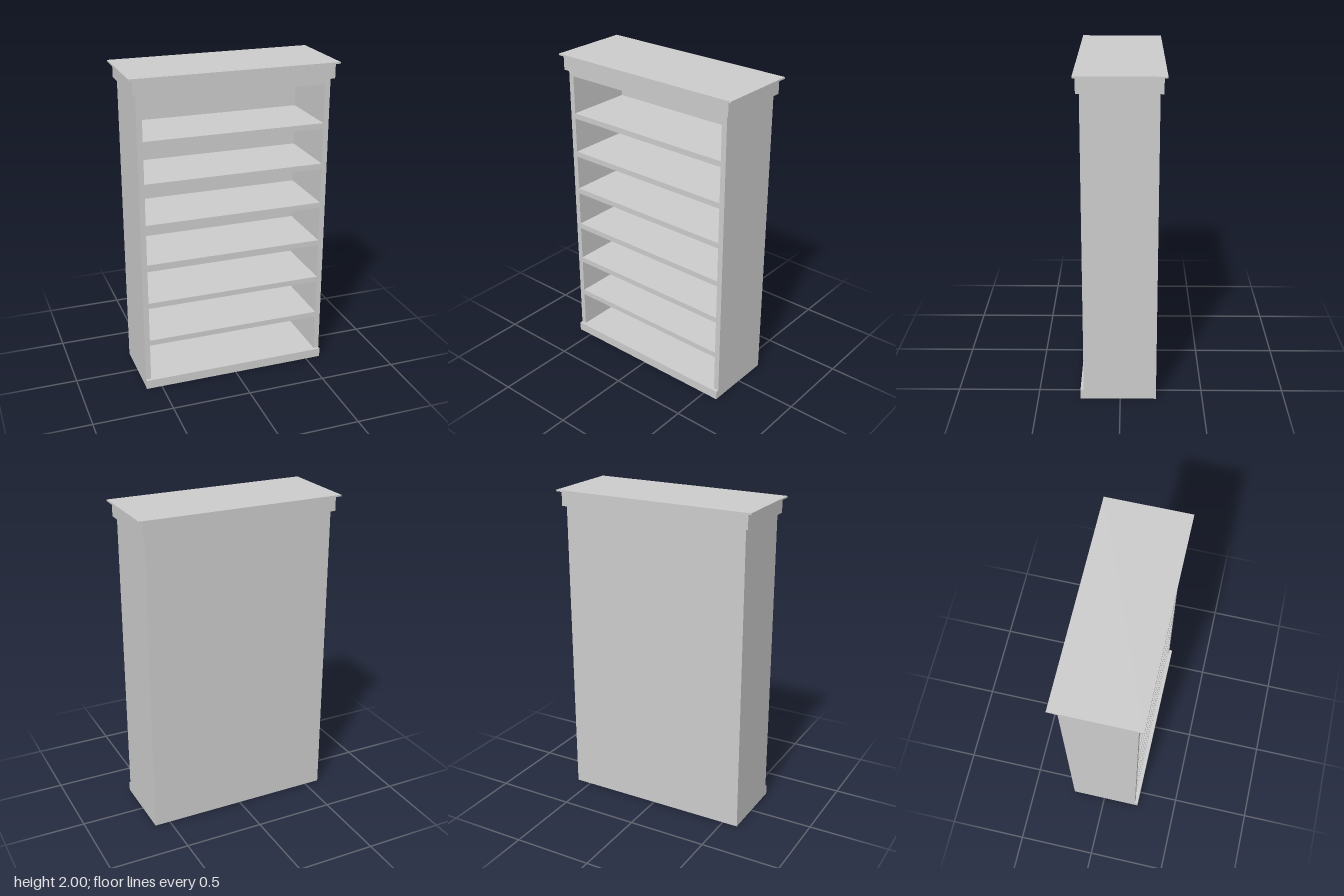
import * as THREE from 'three';

const material = new THREE.MeshStandardMaterial({ color: 0xcccccc, flatShading: true });

export function createModel() {
  const group = new THREE.Group();
  group.name = 'bookcase';

  // Box given by its minimum and maximum along each axis
  function board(name, [x0, x1], [y0, y1], [z0, z1]) {
    const mesh = new THREE.Mesh(new THREE.BoxGeometry(x1 - x0, y1 - y0, z1 - z0), material);
    mesh.position.set((x0 + x1) / 2, (y0 + y1) / 2, (z0 + z1) / 2);
    mesh.name = name;
    group.add(mesh);
  }

  const half = 0.598, inner = 0.564;
  const back = -0.218, front = 0.222, panelFront = -0.208;

  // Carcass: two sides and a thin back
  board('leftSide', [inner, half], [0, 1.9], [back, front]);
  board('rightSide', [-half, -inner], [0, 1.9], [back, front]);
  board('backPanel', [-inner, inner], [0, 1.9], [back, panelFront]);

  // Bottom, evenly spaced shelves and top board
  board('bottomBoard', [-inner, inner], [0, 0.058], [panelFront, front]);
  for (let i = 0; i < 6; i++) {
    const y = 0.297 + i * 0.2585;
    board(`shelf${i + 1}`, [-inner, inner], [y, y + 0.035], [panelFront, front]);
  }
  board('topBoard', [-inner, inner], [1.865, 1.9], [panelFront, front]);

  // Plinth strip along the front foot
  board('plinth', [-half, half], [0, 0.058], [front, 0.242]);

  // Crown: frieze all round, capped by a thin overhanging slab
  board('frieze', [-0.618, 0.618], [1.9, 1.99], [-0.238, 0.242]);
  board('capSlab', [-0.643, 0.643], [1.99, 2], [-0.257, 0.257]);

  return group;
}
